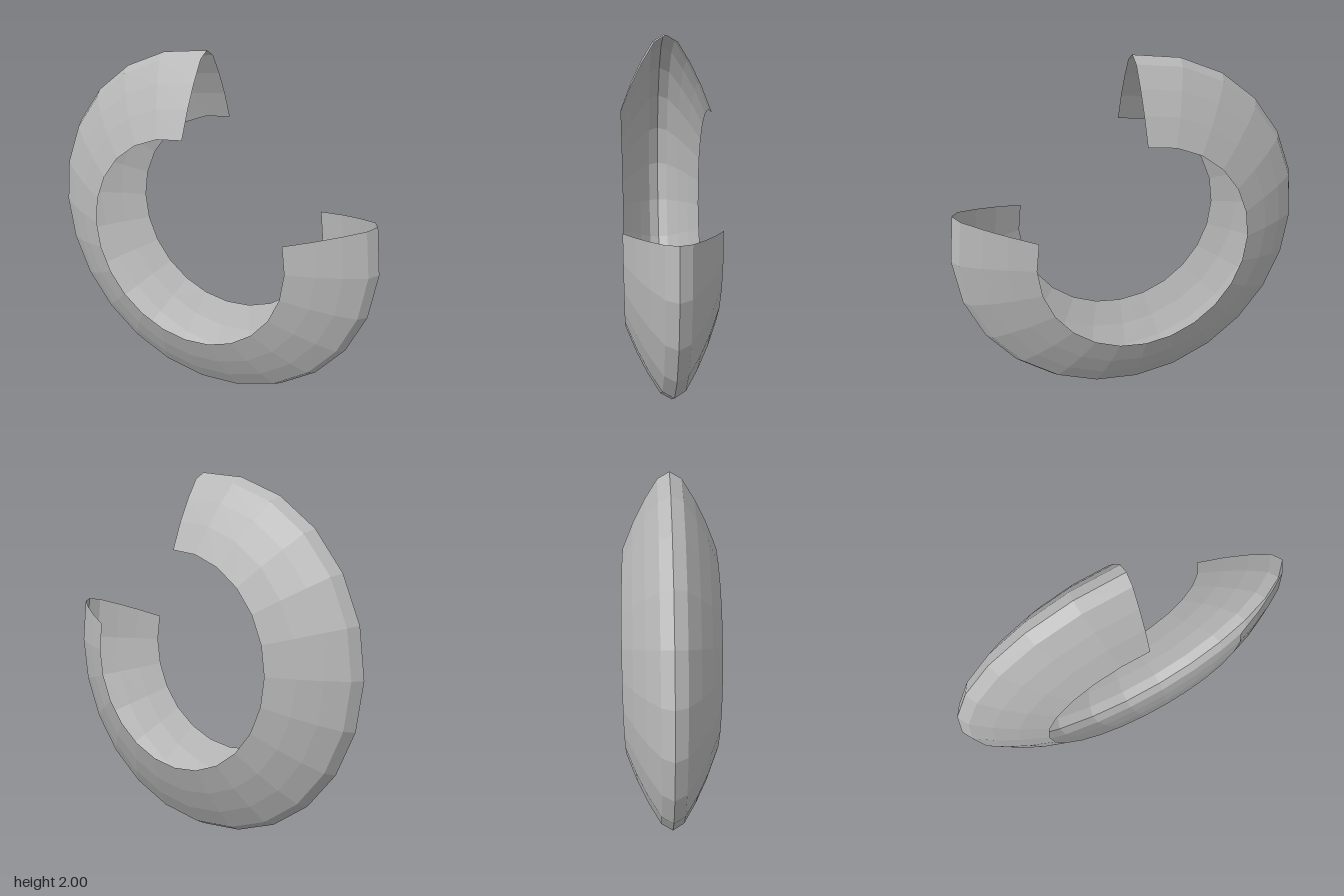
import * as THREE from 'three';

export function createModel() {
  const group = new THREE.Group();
  group.name = 'openRing';

  const grey = new THREE.MeshStandardMaterial({ color: 0xb8b8b8, side: THREE.DoubleSide, flatShading: true });
  grey.name = 'grey';

  // Half of the arched cross-section: [radius, depth], from the inner rim to the crest
  const half = [[0.595, 0.243], [0.74, 0.185], [0.86, 0.125], [0.965, 0.06]];
  const profile = [
    ...half.map(([r, d]) => new THREE.Vector2(r, -d)),
    new THREE.Vector2(1, 0),
    ...half.slice().reverse().map(([r, d]) => new THREE.Vector2(r, d)),
  ];

  // Hollow shell swept 285 degrees in 15 degree steps, from the top round by -x
  const step = Math.PI / 12;
  const geometry = new THREE.LatheGeometry(profile, 19, -Math.PI, 19 * step);
  geometry.rotateX(Math.PI / 2);
  geometry.translate(0, 1, 0);

  const shell = new THREE.Mesh(geometry, grey);
  shell.name = 'ringShell';
  group.add(shell);
  return group;
}
